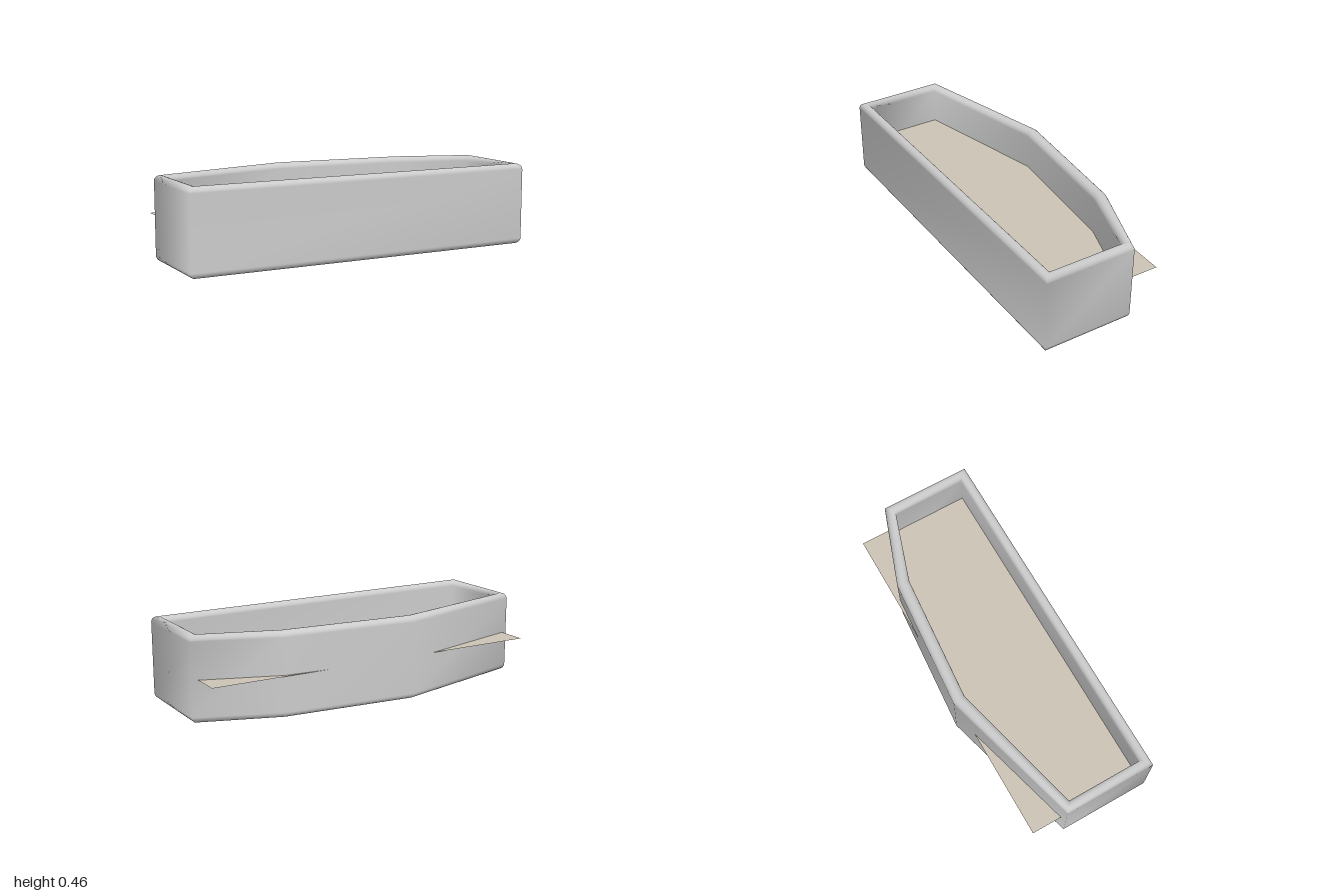
import * as THREE from 'three';

// Plan of the wall as matching outer and inner corners [x, z]
const OUTER = [[-1, -0.15], [-0.2, -0.37], [0.55, -0.31], [1, -0.15], [1, 0.365], [-1, 0.365]];
const INNER = [[-0.945, -0.11], [-0.19, -0.3], [0.54, -0.24], [0.94, -0.11], [0.94, 0.31], [-0.945, 0.31]];
const HEIGHT = 0.46;
const ROUND = 0.032;

// Wall cross-section as [across (0 outer, 1 inner), y]: straight sides, rounded top and bottom
function wallProfile(steps = 10) {
  const points = [];
  for (const [start, centreY] of [[Math.PI, HEIGHT - ROUND], [0, ROUND]]) {
    for (let i = 0; i <= steps; i++) {
      const a = start - (i / steps) * Math.PI;
      points.push([0.5 + 0.5 * Math.cos(a), centreY + ROUND * Math.sin(a)]);
    }
  }
  return points;
}

// Closed ring: the cross-section carried round the plan, mitred at every corner
function wallGeometry() {
  const profile = wallProfile();
  const n = profile.length;
  const positions = [];
  const index = [];
  OUTER.forEach(([ox, oz], i) => {
    const [ix, iz] = INNER[i];
    const next = (i + 1) % OUTER.length;
    profile.forEach(([u, y], j) => {
      positions.push(ox + (ix - ox) * u, y, oz + (iz - oz) * u);
      const k = (j + 1) % n;
      const a = i * n + j, b = i * n + k, c = next * n + j, d = next * n + k;
      index.push(a, b, c, b, d, c);
    });
  });
  const geometry = new THREE.BufferGeometry();
  geometry.setAttribute('position', new THREE.Float32BufferAttribute(positions, 3));
  geometry.setIndex(index);
  geometry.computeVertexNormals();
  return geometry;
}

export function createModel() {
  const group = new THREE.Group();

  // Rounded surrounding wall
  const wall = new THREE.Mesh(wallGeometry(), new THREE.MeshStandardMaterial({ color: 0xcccccc }));
  wall.name = 'wall';
  group.add(wall);

  // Thin sheet at mid height, its back corners poking through the wall
  const sheet = new THREE.Mesh(
    new THREE.PlaneGeometry(1.935, 0.66).rotateX(-Math.PI / 2),
    new THREE.MeshStandardMaterial({ color: 0xcbc3b4, side: THREE.DoubleSide })
  );
  sheet.name = 'innerSheet';
  sheet.position.set(0, 0.23, 0);
  group.add(sheet);

  return group;
}
